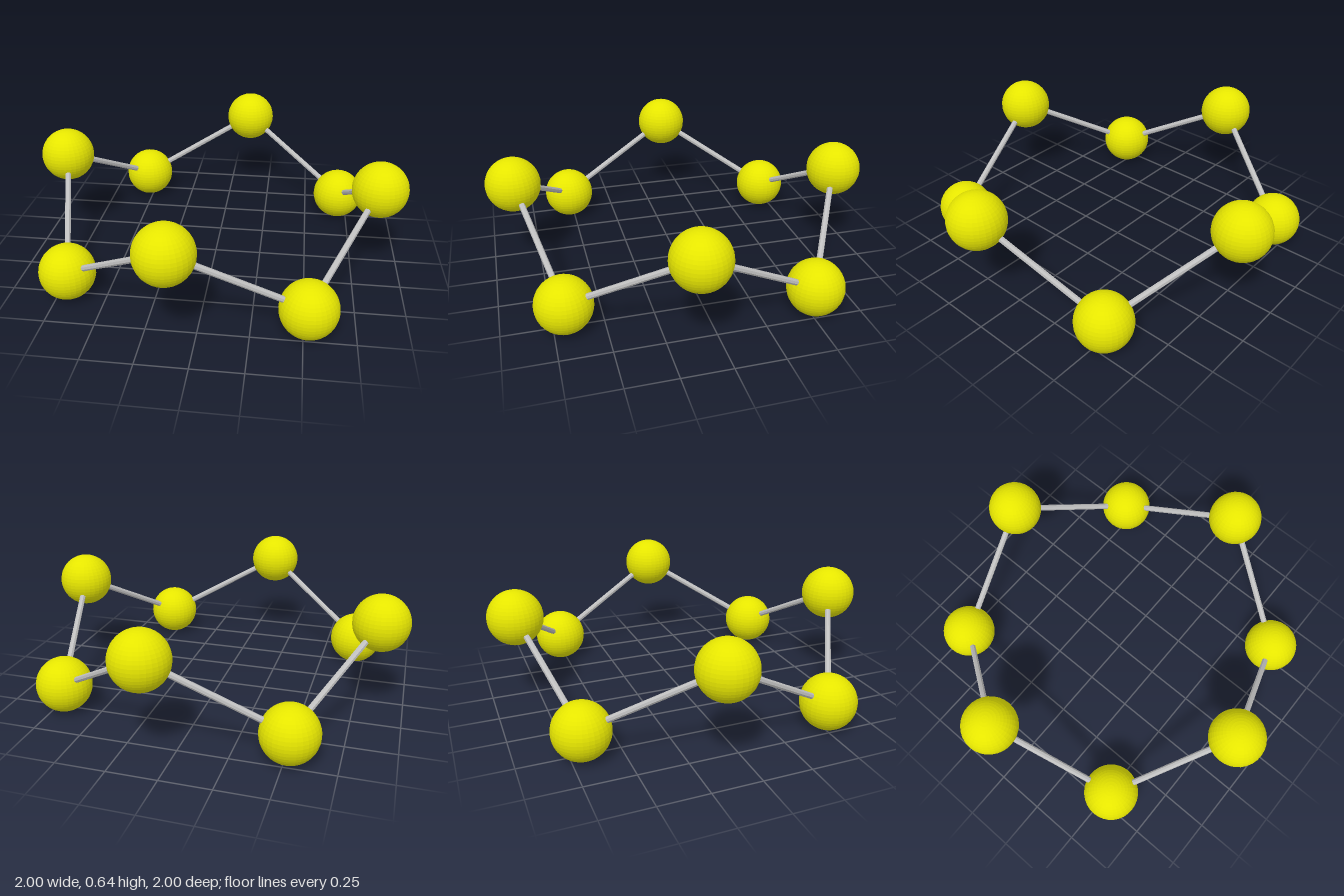
import * as THREE from 'three';

const COUNT = 8, RING = 0.865, BALL = 0.1435, ROD = 0.016;
const START = THREE.MathUtils.degToRad(8);

export function createModel() {
  const model = new THREE.Group();
  model.name = 'crownRing';
  const yellow = new THREE.MeshStandardMaterial({ color: 0xe6e600, flatShading: true });
  yellow.name = 'yellow';
  const silver = new THREE.MeshStandardMaterial({ color: 0xc0c0c0, flatShading: true });
  silver.name = 'silver';

  // Ball centres alternate between a high and a low level around the ring
  const centres = Array.from({ length: COUNT }, (_, i) => {
    const a = START + (i * Math.PI * 2) / COUNT;
    return new THREE.Vector3(Math.cos(a) * RING, i % 2 ? BALL : 0.498, Math.sin(a) * RING);
  });

  const ballGeometry = new THREE.SphereGeometry(BALL, 32, 24);
  const up = new THREE.Vector3(0, 1, 0);

  centres.forEach((centre, i) => {
    const ball = new THREE.Mesh(ballGeometry, yellow);
    ball.name = `ball${i + 1}`;
    ball.position.copy(centre);
    model.add(ball);

    // Eight-sided rod from this ball's centre to the next one
    const along = centres[(i + 1) % COUNT].clone().sub(centre);
    const rod = new THREE.Mesh(new THREE.CylinderGeometry(ROD, ROD, along.length(), 8), silver);
    rod.name = `rod${i + 1}`;
    rod.position.copy(centre).addScaledVector(along, 0.5);
    rod.quaternion.setFromUnitVectors(up, along.normalize());
    model.add(rod);
  });
  return model;
}
